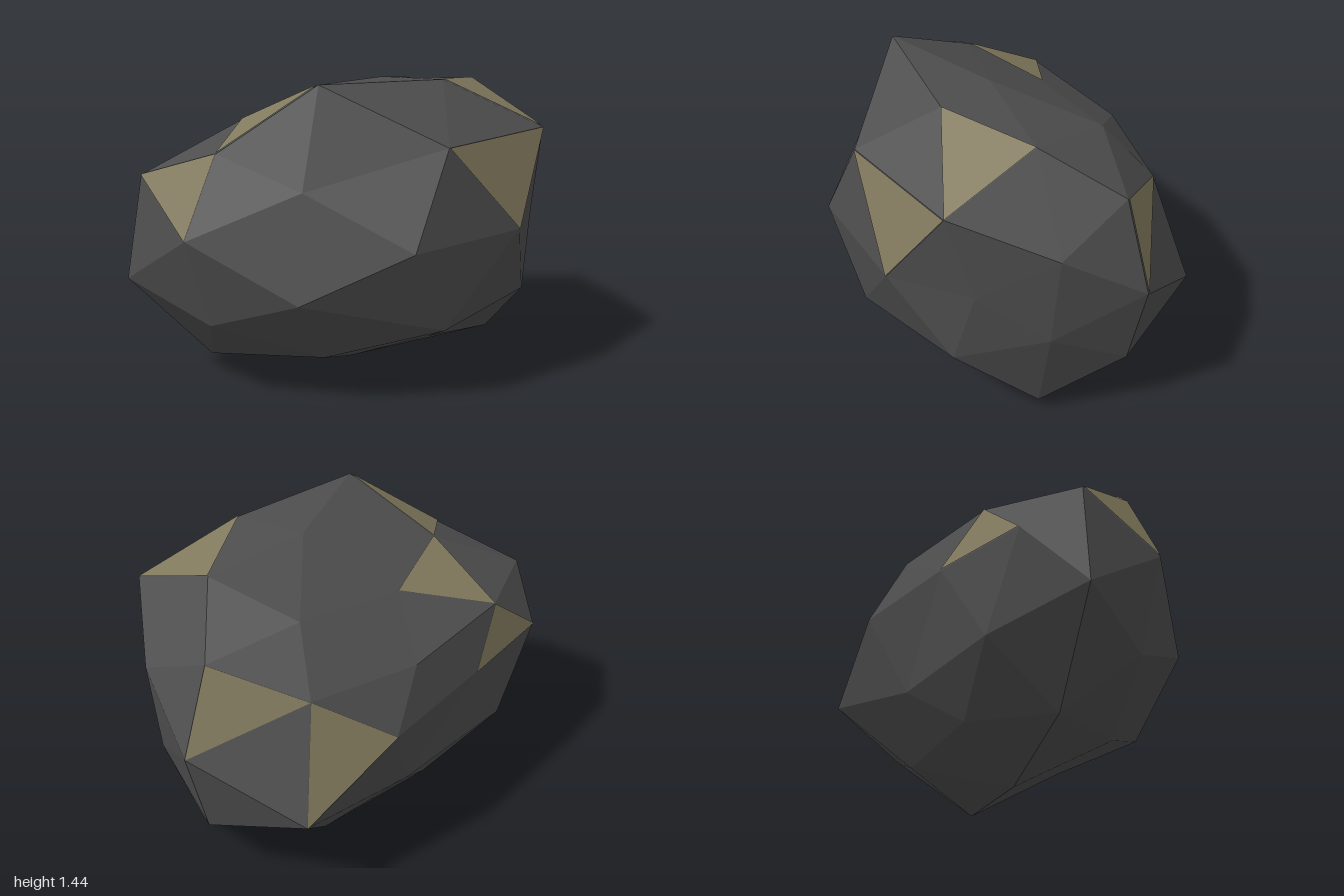
import * as THREE from 'three';
import { ConvexGeometry } from 'three/addons/geometries/ConvexGeometry.js';

// Corners of the stone, named by the region they sit in
const corners = {
  // crown
  peak: [-0.23, 1.435, 0.40], crownMid: [0.19, 1.395, 0.05], crownFront: [0.385, 1.41, 0.30],
  crownLeft: [0.68, 1.35, -0.03], crownBack: [0.43, 1.25, -0.39], crownDip: [-0.11, 1.18, -0.27],
  crownRight: [-0.46, 1.23, 0.005],
  // shoulder
  shFront: [0.265, 1.18, 0.655], shLeftFront: [0.85, 1.18, 0.385], shLeft: [1.0, 1.005, -0.055],
  shLeftBack: [0.85, 1.16, -0.37], shBackLeft: [0.495, 1.005, -0.61], shBack: [-0.02, 1.01, -0.59],
  shRightBack: [-0.57, 1.03, -0.365], shRight: [-0.92, 1.0, -0.04], shRightFront: [-0.65, 1.14, 0.27],
  shFace: [-0.34, 1.0, 0.51],
  // waist
  waFront: [0.07, 0.765, 0.775], waFrontLeft: [0.64, 0.775, 0.60], waLeft: [0.87, 0.775, 0.27],
  waLeftBack: [0.995, 0.77, -0.435], waBackLow: [0.605, 0.495, -0.775], waBack: [0.145, 0.775, -0.725],
  waBackRight: [-0.39, 0.80, -0.51], waRightBack: [-0.855, 0.80, -0.295], waRight: [-1.0, 0.52, -0.045],
  waRightFront: [-0.815, 0.785, 0.345], waFace: [-0.39, 0.53, 0.605],
  // belly
  beFront: [0.265, 0.36, 0.655], beLeftFront: [0.795, 0.40, 0.35], beLeft: [0.955, 0.555, -0.035],
  beLeftBack: [0.90, 0.345, -0.40], beBack: [0.0, 0.37, -0.56], beRightBack: [-0.63, 0.40, -0.37],
  beRight: [-0.70, 0.37, 0.29],
  // underside
  foot: [0.07, 0, -0.035], footLeft: [0.80, 0.07, -0.035], footFront: [-0.19, 0.175, 0.35],
  footFrontLeft: [0.355, 0.18, 0.27], footBack: [0.355, 0.14, -0.45], footBackRight: [-0.23, 0.17, -0.35],
  footRight: [-0.62, 0.10, -0.05],
};

// Facets that carry the ochre colour
const ochreFacets = [
  ['shFront', 'shLeftFront', 'waFrontLeft'],
  ['crownLeft', 'crownFront', 'shLeftFront'],
  ['peak', 'shRightFront', 'crownRight'],
  ['crownRight', 'crownDip', 'shRightBack'],
  ['shRightBack', 'waBackRight', 'waRightBack'],
  ['shRight', 'waRightFront', 'shRightFront'],
  ['shLeftBack', 'waLeftBack', 'shBackLeft'],
  ['shBackLeft', 'waBack', 'waBackLow'],
];

const centre = new THREE.Vector3(0.02, 0.74, 0);
const radii = new THREE.Vector3(1, 0.72, 0.75);

export function createModel() {
  const group = new THREE.Group();
  group.name = 'rock';
  const charcoal = new THREE.MeshStandardMaterial({ color: 0x4e4e4e });
  charcoal.name = 'charcoal stone';
  const ochre = new THREE.MeshStandardMaterial({ color: 0x827a5e });
  ochre.name = 'ochre mineral';

  const points = Object.values(corners).map((c) => new THREE.Vector3(...c));
  const directions = points.map((p) => p.clone().sub(centre).divide(radii).normalize());

  // Join the corners as a net on a sphere, then move each one to its true place
  const geometry = new ConvexGeometry(directions);
  const pos = geometry.attributes.position;
  const v = new THREE.Vector3();
  for (let i = 0; i < pos.count; i++) {
    v.fromBufferAttribute(pos, i);
    let best = 0;
    directions.forEach((d, k) => {
      if (d.distanceToSquared(v) < directions[best].distanceToSquared(v)) best = k;
    });
    pos.setXYZ(i, points[best].x, points[best].y, points[best].z);
  }
  geometry.computeVertexNormals();
  const stone = new THREE.Mesh(geometry, charcoal);
  stone.name = 'stone';
  group.add(stone);

  // Thin ochre faces laid just over the stone
  ochreFacets.forEach((names, i) => {
    const tri = names.map((n) => new THREE.Vector3(...corners[n]));
    const normal = new THREE.Triangle(...tri).getNormal(new THREE.Vector3());
    if (normal.dot(tri[0].clone().sub(centre)) < 0) {
      tri.reverse();
      normal.negate();
    }
    tri.forEach((p) => p.addScaledVector(normal, 0.005));
    const face = new THREE.BufferGeometry().setFromPoints(tri);
    face.computeVertexNormals();
    const mesh = new THREE.Mesh(face, ochre);
    mesh.name = `ochreFacet${i + 1}`;
    group.add(mesh);
  });

  return group;
}
